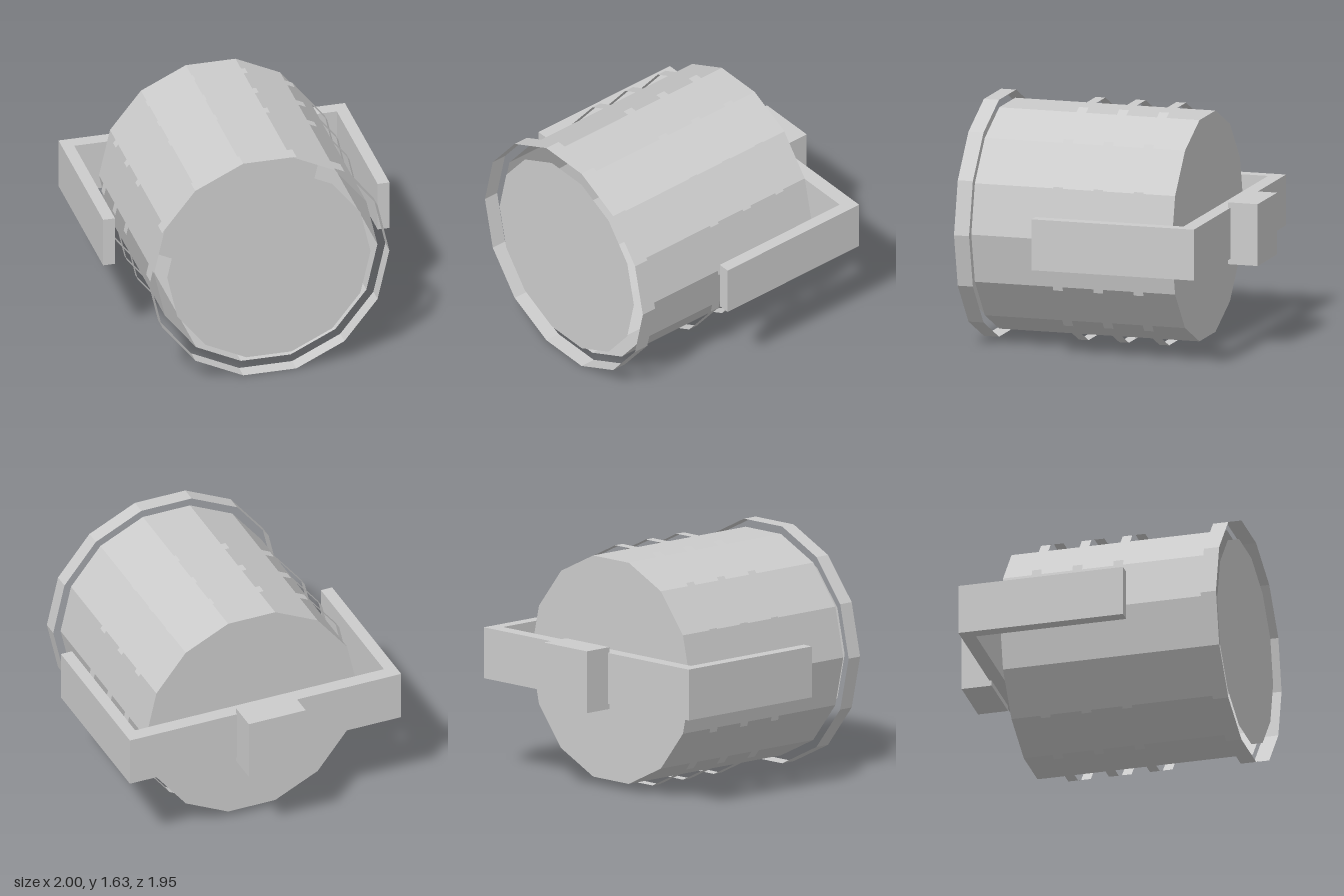
import * as THREE from 'three';

const SIDES = 14;
const AXIS_Y = 0.817;

export function createModel() {
  const model = new THREE.Group();
  const grey = new THREE.MeshStandardMaterial({ color: 0xcccccc });
  grey.name = 'light grey';
  grey.flatShading = true;
  grey.side = THREE.DoubleSide;

  const add = (name, geometry, x = 0, y = 0, z = 0) => {
    const mesh = new THREE.Mesh(geometry, grey);
    mesh.name = name;
    mesh.position.set(x, y, z);
    model.add(mesh);
  };

  // Open faceted band around the z axis, with corners on the left and right
  const addBand = (name, radius, z0, z1) => {
    const g = new THREE.CylinderGeometry(radius, radius, z1 - z0, SIDES, 1, true, Math.PI / 2);
    g.rotateX(Math.PI / 2);
    add(name, g, 0, AXIS_Y, (z0 + z1) / 2);
  };

  // Barrel, open at the front and closed at the back
  addBand('barrel', 0.78, -0.55, 0.87);
  add('barrelBack', new THREE.CircleGeometry(0.78, SIDES).rotateY(Math.PI), 0, AXIS_Y, -0.55);

  // Front glass and the loose rim around it
  add('frontGlass', new THREE.CircleGeometry(0.71, SIDES), 0, AXIS_Y, 0.95);
  addBand('frontRim', 0.835, 0.868, 0.975);

  // Three thin hoops around the barrel
  [0.268, -0.018, -0.303].forEach((z, i) => addBand(`hoop${i + 1}`, 0.82, z - 0.034, z + 0.034));

  // U-shaped bracket: plan outline drawn as (x, -z), extruded upwards
  const plan = new THREE.Shape([
    [-1, -0.37], [-0.917, -0.37], [-0.917, 0.68], [0.917, 0.68],
    [0.917, -0.37], [1, -0.37], [1, 0.78], [-1, 0.78],
  ].map(([x, y]) => new THREE.Vector2(x, y)));
  const bracket = new THREE.ExtrudeGeometry(plan, { depth: 0.35, bevelEnabled: false });
  bracket.rotateX(-Math.PI / 2);
  add('bracket', bracket, 0, 0.645, 0);

  // Mounting block behind the bracket
  add('mountBlock', new THREE.BoxGeometry(0.42, 0.425, 0.21), 0, 0.82, -0.87);

  return model;
}
